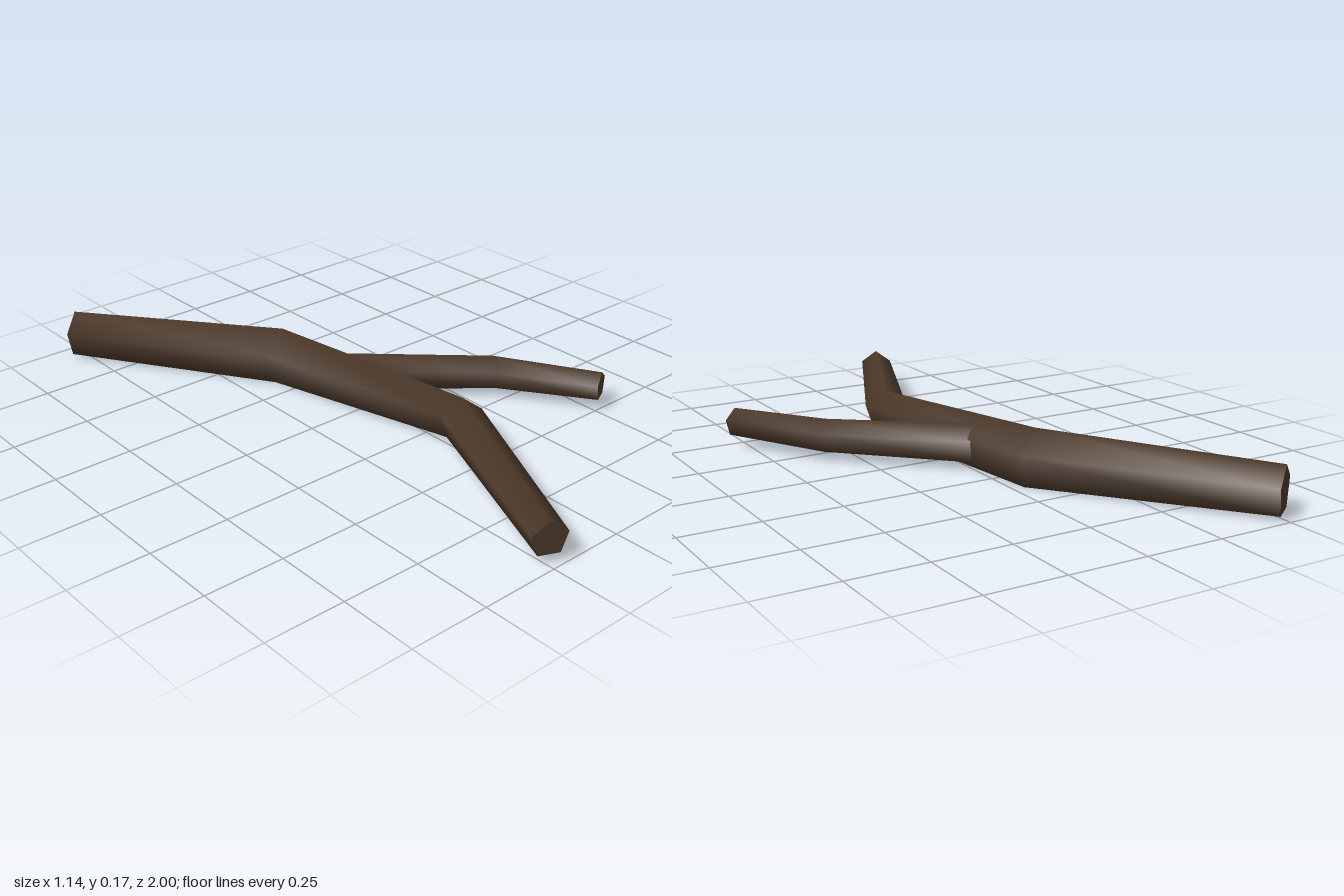
import * as THREE from 'three';

const SIDES = 5;
const AXIS_Y = 0.077;

// Tapered five-sided limb. Each ring is [x, z, radius, heading in degrees from +z towards +x].
function limb(name, rings, material) {
  const pos = [], index = [];
  const addRing = ([x, z, r, deg]) => {
    const h = THREE.MathUtils.degToRad(deg);
    const first = pos.length / 3;
    for (let i = 0; i < SIDES; i++) {
      const a = Math.PI / 2 + (i / SIDES) * Math.PI * 2; // one corner points up
      const s = Math.cos(a) * r;
      pos.push(x + s * Math.cos(h), AXIS_Y + Math.sin(a) * r, z - s * Math.sin(h));
    }
    return first;
  };

  // Bark, sharing vertices for smooth normals
  const starts = rings.map(addRing);
  for (let k = 0; k < starts.length - 1; k++) {
    for (let i = 0; i < SIDES; i++) {
      const j = (i + 1) % SIDES;
      const a = starts[k] + i, b = starts[k] + j;
      const c = starts[k + 1] + j, d = starts[k + 1] + i;
      index.push(a, b, c, a, c, d);
    }
  }

  // Cut ends, with their own vertices to keep the rims sharp
  const back = addRing(rings[0]);
  const front = addRing(rings[rings.length - 1]);
  for (let i = 1; i < SIDES - 1; i++) {
    index.push(back, back + i + 1, back + i);
    index.push(front, front + i, front + i + 1);
  }

  const geometry = new THREE.BufferGeometry();
  geometry.setAttribute('position', new THREE.Float32BufferAttribute(pos, 3));
  geometry.setIndex(index);
  geometry.computeVertexNormals();
  const mesh = new THREE.Mesh(geometry, material);
  mesh.name = name;
  return mesh;
}

export function createModel() {
  const group = new THREE.Group();
  group.name = 'fallenBranch';
  const bark = new THREE.MeshStandardMaterial({ color: 0x4a3728 });
  bark.name = 'darkBark';

  // Main limb, thick end at the back
  group.add(limb('mainLimb', [
    [-0.515, -0.955, 0.077, 36],
    [-0.09, -0.347, 0.095, 23],
    [0.042, 0.353, 0.072, -23],
    [-0.245, 0.976, 0.056, -24],
  ], bark));

  // Side twig, starting inside the main limb
  group.add(limb('sideTwig', [
    [-0.015, -0.122, 0.063, 47],
    [0.344, 0.193, 0.055, 54],
    [0.529, 0.492, 0.047, 26],
  ], bark));

  return group;
}
